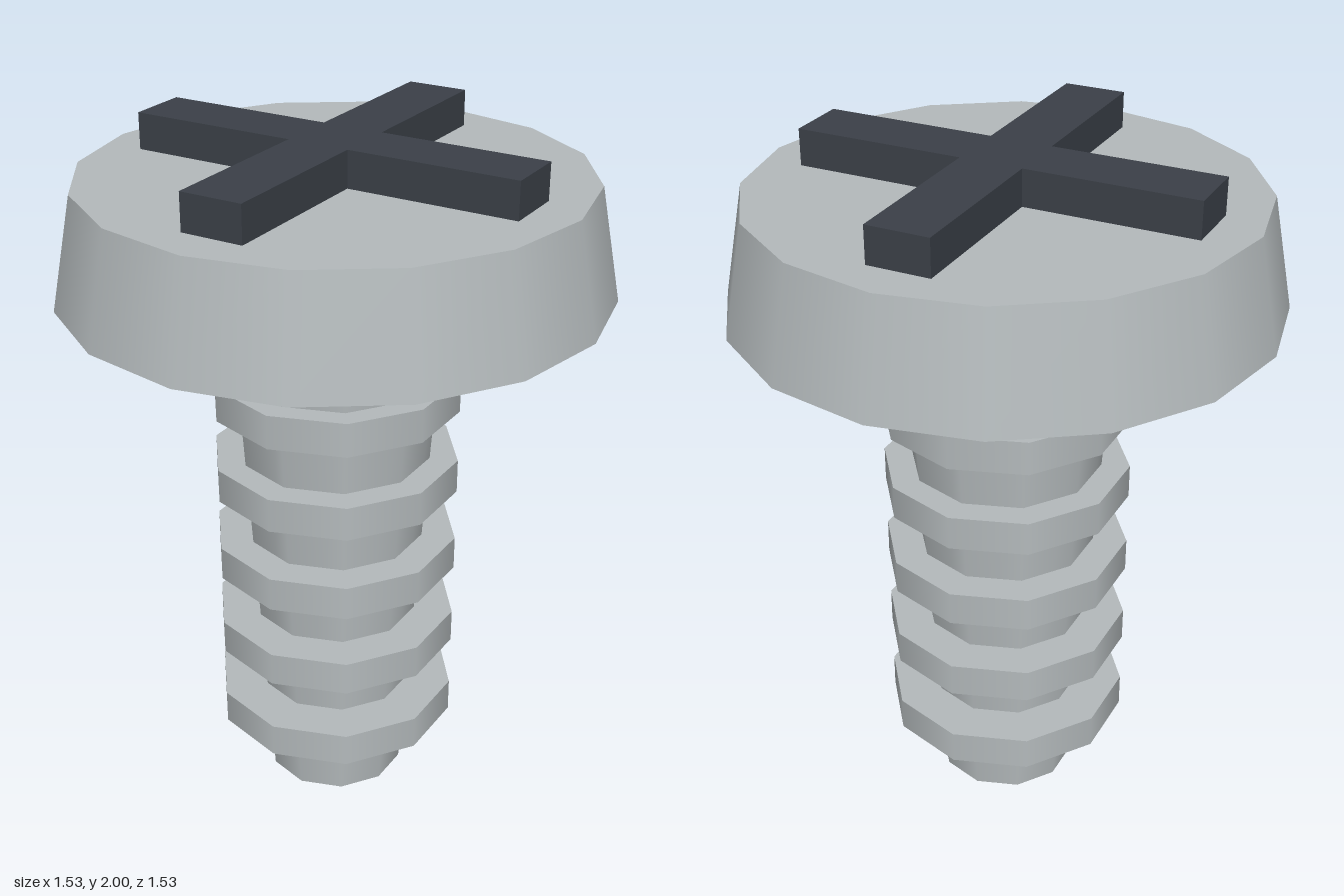
import * as THREE from 'three';

const steel = new THREE.MeshStandardMaterial({ color: 0xb4babc });
steel.name = 'steel grey';
const dark = new THREE.MeshStandardMaterial({ color: 0x3b4048 });
dark.name = 'dark slate';

// Tapered round part standing between two heights
function roundPart(name, topRadius, bottomRadius, y0, y1, sides) {
  const geometry = new THREE.CylinderGeometry(topRadius, bottomRadius, y1 - y0, sides);
  const mesh = new THREE.Mesh(geometry, steel);
  mesh.name = name;
  mesh.position.y = (y0 + y1) / 2;
  return mesh;
}

// Plus-shaped block, lying flat
function crossBar(half, arm, y0, y1) {
  const shape = new THREE.Shape([
    [half, -arm], [half, arm], [arm, arm], [arm, half], [-arm, half], [-arm, arm],
    [-half, arm], [-half, -arm], [-arm, -arm], [-arm, -half], [arm, -half], [arm, -arm],
  ].map(([x, y]) => new THREE.Vector2(x, y)));
  const geometry = new THREE.ExtrudeGeometry(shape, { depth: y1 - y0, bevelEnabled: false });
  geometry.rotateX(-Math.PI / 2);
  const mesh = new THREE.Mesh(geometry, dark);
  mesh.name = 'driveCross';
  mesh.position.y = y0;
  return mesh;
}

export function createModel() {
  const screw = new THREE.Group();
  screw.name = 'screw';

  // Head and its cross
  screw.add(roundPart('head', 0.705, 0.767, 1.58, 1.897, 16));
  screw.add(crossBar(0.576, 0.089, 1.89, 2));

  // Tapered shank
  screw.add(roundPart('shank', 0.307, 0.205, 0, 1.54, 10));

  // Evenly spaced thread rings
  const threads = new THREE.Group();
  threads.name = 'threads';
  for (let i = 0; i < 5; i++) {
    const y = 0.21 + i * 0.256;
    threads.add(roundPart('threadRing' + (i + 1), 0.358, 0.358, y, y + 0.1, 10));
  }
  screw.add(threads);

  return screw;
}
